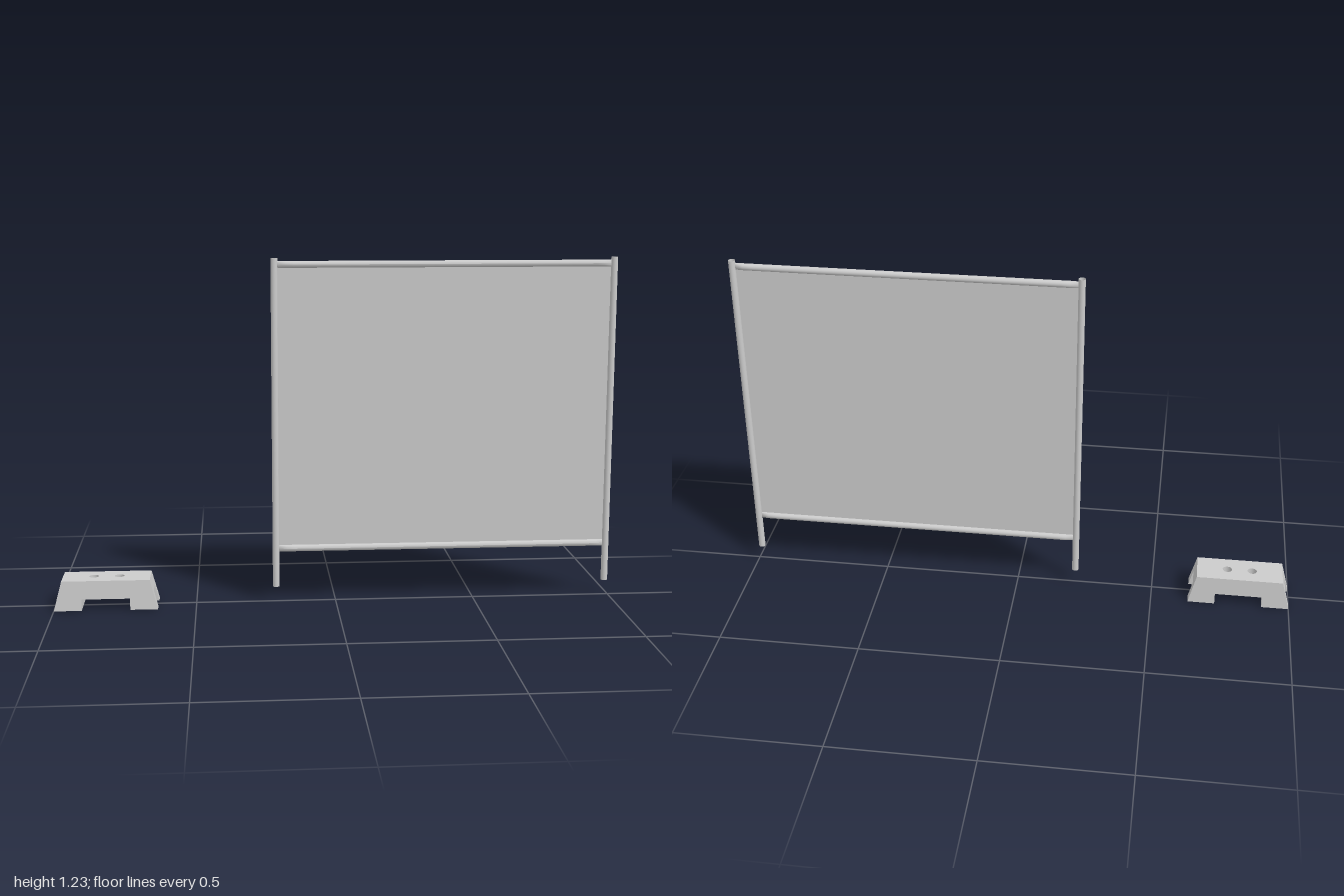
import * as THREE from 'three';

const grey = (side = THREE.FrontSide) => new THREE.MeshStandardMaterial({ color: 0xcccccc, side });

function add(parent, name, geometry, side) {
  const mesh = new THREE.Mesh(geometry, grey(side));
  mesh.name = name;
  parent.add(mesh);
  return mesh;
}

// Flat polygon drawn in (u, v), then placed in space by a mapping rule
function face(parent, name, points, map, holes = []) {
  const shape = new THREE.Shape(points.map(([u, v]) => new THREE.Vector2(u, v)));
  for (const [x, y, r] of holes) shape.holes.push(new THREE.Path().absarc(x, y, r, 0, Math.PI * 2, true));
  const g = new THREE.ShapeGeometry(shape, 8);
  const p = g.attributes.position;
  for (let i = 0; i < p.count; i++) p.setXYZ(i, ...map(p.getX(i), p.getY(i)));
  g.computeVertexNormals();
  return add(parent, name, g);
}

const rect = (u0, u1, v0, v1) => [[u0, v0], [u1, v0], [u1, v1], [u0, v1]];

// Tapered foot block with a tunnel below, a notch in each end and two post holes
function createFootBlock() {
  const block = new THREE.Group();
  block.name = 'footBlock';
  const H = 0.105, tunnelX = 0.085, tunnelH = 0.04;
  const notchZ = 0.035, notchH = 0.06, notchX = 0.155;
  const sx = y => 0.1825 - 0.0275 * y / H;
  const sz = y => 0.073 - 0.01 * y / H;
  const holes = [[-0.045, 0, 0.017], [0.045, 0, 0.017]];

  // Outline of a tapered wall with a rectangular cut-out at its foot
  const wall = (s, cutW, cutH) => [
    [-s(0), 0], [-cutW, 0], [-cutW, cutH], [cutW, cutH],
    [cutW, 0], [s(0), 0], [s(H), H], [-s(H), H]];

  // The two halves are alike, turned half a circle
  for (const turn of [0, Math.PI]) {
    const half = new THREE.Group();
    half.name = 'blockHalf';
    half.rotation.y = turn;
    block.add(half);
    face(half, 'sideFace', wall(sx, tunnelX, tunnelH), (u, v) => [u, v, sz(v)]);
    face(half, 'endFace', wall(sz, notchZ, notchH), (u, v) => [sx(v), v, -u]);
    face(half, 'notchBack', rect(-notchZ, notchZ, 0, notchH), (u, v) => [notchX, v, -u]);
    face(half, 'notchCeiling', rect(notchX, sx(notchH), -notchZ, notchZ), (u, v) => [u, notchH, v]);
    const cheek = [[notchX, 0], [sx(0), 0], [sx(notchH), notchH], [notchX, notchH]];
    face(half, 'notchCheek', cheek, (u, v) => [u, v, -notchZ]);
    face(half, 'notchCheek', cheek.map(([u, v]) => [-u, v]), (u, v) => [-u, v, notchZ]);
    face(half, 'tunnelWall',
      [[-sz(0), 0], [sz(0), 0], [sz(tunnelH), tunnelH], [-sz(tunnelH), tunnelH]],
      (u, v) => [tunnelX, v, u]);
    face(half, 'footSole', [
      [tunnelX, -sz(0)], [sx(0), -sz(0)], [sx(0), -notchZ], [notchX, -notchZ],
      [notchX, notchZ], [sx(0), notchZ], [sx(0), sz(0)], [tunnelX, sz(0)]],
      (u, v) => [u, 0, v]);
  }
  face(block, 'blockTop', rect(-sx(H), sx(H), -sz(H), sz(H)), (u, v) => [u, H, -v], holes);
  face(block, 'tunnelCeiling', rect(-tunnelX, tunnelX, -sz(tunnelH), sz(tunnelH)),
    (u, v) => [u, tunnelH, v], holes);
  for (const [x, , r] of holes) {
    const bore = new THREE.CylinderGeometry(r, r, H - tunnelH, 16, 1, true);
    add(block, 'postHole', bore, THREE.BackSide).position.set(x, (H + tunnelH) / 2, 0);
  }
  return block;
}

// Horizontal tube whose ends are pinched flat where they meet the posts
function railGeometry(length, radius) {
  const g = new THREE.CylinderGeometry(radius, radius, length, 16, 40, true).rotateZ(Math.PI / 2);
  const p = g.attributes.position;
  for (let i = 0; i < p.count; i++) {
    const fromEnd = length / 2 - Math.abs(p.getX(i));
    p.setZ(i, p.getZ(i) * THREE.MathUtils.clamp(0.2 + fromEnd / 0.035, 0.2, 1));
  }
  g.computeVertexNormals();
  return g;
}

function createFence() {
  const fence = new THREE.Group();
  fence.name = 'fencePanel';
  const halfSpan = 0.6, bottom = 0.055, top = 1.23, lowRail = 0.195, highRail = 1.208;

  // Open upright tubes
  for (const side of [-1, 1]) {
    const post = new THREE.CylinderGeometry(0.012, 0.012, top - bottom, 20, 1, true);
    add(fence, 'post', post, THREE.DoubleSide).position.set(side * halfSpan, (top + bottom) / 2, 0);
  }
  for (const y of [lowRail, highRail]) {
    add(fence, 'rail', railGeometry(2 * halfSpan - 0.018, 0.012), THREE.DoubleSide).position.y = y;
  }
  // Thin infill sheet
  const sheet = new THREE.PlaneGeometry(2 * halfSpan - 0.022, highRail - lowRail);
  add(fence, 'infillSheet', sheet, THREE.DoubleSide).position.y = (highRail + lowRail) / 2;
  return fence;
}

export function createModel() {
  const model = new THREE.Group();
  model.name = 'siteFence';
  const block = createFootBlock();
  block.position.x = -0.8175;
  const fence = createFence();
  fence.position.x = 0.386;
  model.add(block, fence);
  return model;
}
